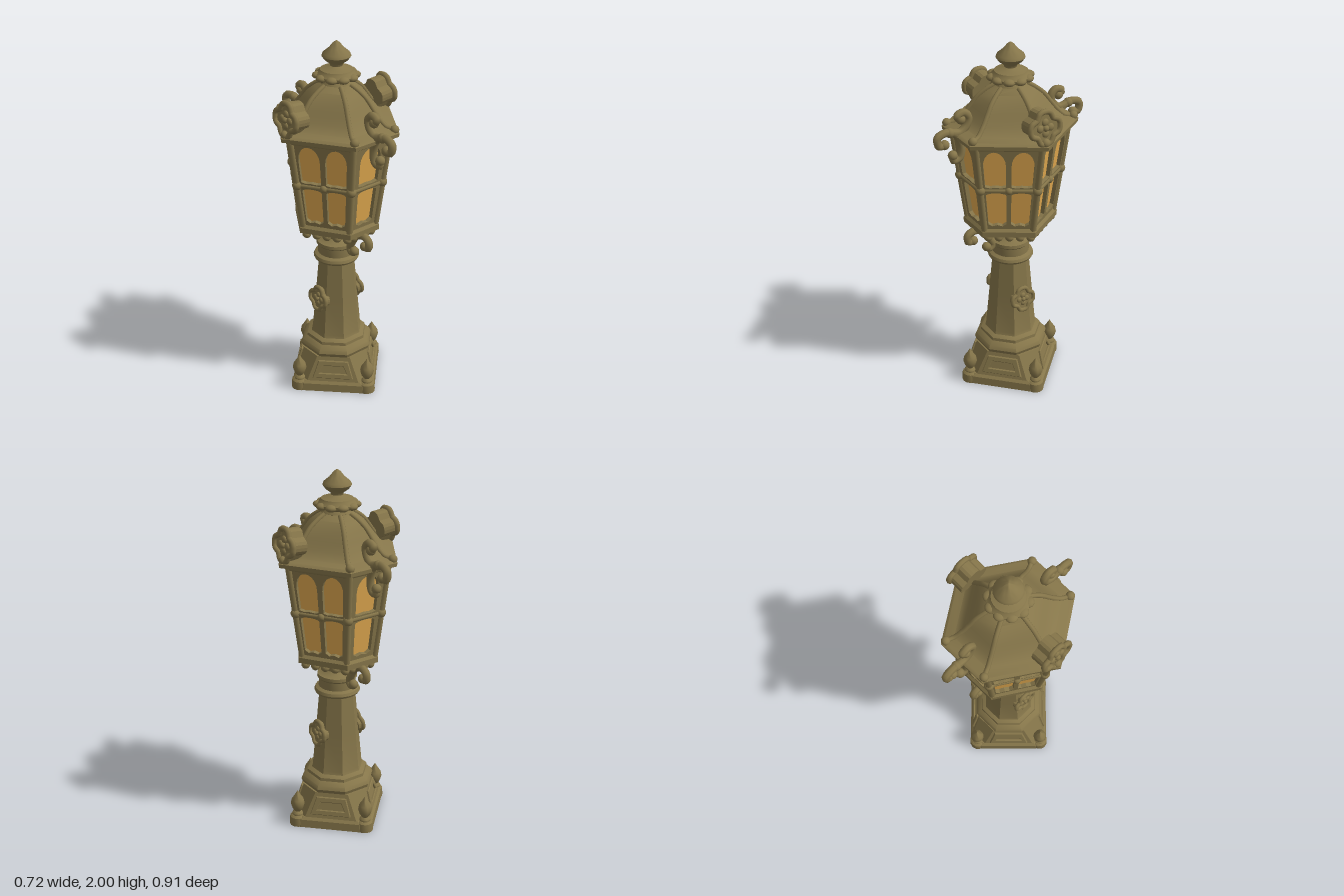
import * as THREE from 'three';
import { toCreasedNormals } from 'three/addons/utils/BufferGeometryUtils.js';

const bronze = new THREE.MeshStandardMaterial({ color: 0x86764a });
bronze.name = 'bronze';
const amber = new THREE.MeshStandardMaterial({ color: 0xe2aa50 });
amber.name = 'amberGlass';

const V = (x, y, z) => new THREE.Vector3(x, y, z);

// Cross-sections as [x, z] corners, running from +x towards +z
const hex = (a, c, b = a * 0.4) => [[a, 0], [b, c], [-b, c], [-a, 0], [-b, -c], [b, -c]];
const cutDiamond = (s, r) => {
  const k = s - r;
  return [[r, -k], [r, k], [k, r], [-k, r], [-r, k], [-r, -k], [-k, -r], [k, -r]];
};

// Skin over a stack of [y, section] rings, closed at both ends
function loft(rings, crease = 0.5) {
  const collapse = ([y, s]) => [y, s.map(([x, z]) => [x * 0.001, z * 0.001])];
  const all = [collapse(rings[0]), ...rings, collapse(rings[rings.length - 1])];
  const pos = [];
  for (let r = 0; r < all.length - 1; r++) {
    const [y0, s0] = all[r], [y1, s1] = all[r + 1], n = s0.length;
    for (let i = 0; i < n; i++) {
      const j = (i + 1) % n;
      const a = [s0[i][0], y0, s0[i][1]], b = [s1[i][0], y1, s1[i][1]];
      const c = [s0[j][0], y0, s0[j][1]], d = [s1[j][0], y1, s1[j][1]];
      pos.push(...a, ...b, ...c, ...b, ...d, ...c);
    }
  }
  const g = new THREE.BufferGeometry();
  g.setAttribute('position', new THREE.Float32BufferAttribute(pos, 3));
  return toCreasedNormals(g, crease);
}

function lathe(profile, sides = 24, crease = 0.6) {
  const g = new THREE.LatheGeometry(profile.map(([r, y]) => new THREE.Vector2(r, y)), sides);
  return toCreasedNormals(g, crease);
}

export function createModel() {
  const model = new THREE.Group();
  const add = (name, geo, parent = model, mat = bronze) => {
    const m = new THREE.Mesh(geo, mat);
    m.name = name;
    parent.add(m);
    return m;
  };
  const ball = (name, p, r, parent = model) => {
    const m = add(name, new THREE.SphereGeometry(r, 12, 8), parent);
    m.position.copy(p);
    return m;
  };
  const tube = (name, pts, r, parent = model, closed = false) =>
    add(name, new THREE.TubeGeometry(new THREE.CatmullRomCurve3(pts, closed), pts.length * 6, r, 8, closed), parent);
  const rod = (name, p, q, r) => add(name, new THREE.TubeGeometry(new THREE.LineCurve3(p, q), 1, r, 8));

  // Base: square plinth turned so its corners lie on the axes
  add('plinth', loft([[0, cutDiamond(0.33, 0.285)], [0.045, cutDiamond(0.325, 0.28)], [0.06, cutDiamond(0.305, 0.262)]]));
  add('baseBody', loft([[0.05, cutDiamond(0.31, 0.26)], [0.2, cutDiamond(0.25, 0.19)]]));
  const finialProfile = [[0.03, 0.055], [0.032, 0.07], [0.018, 0.082], [0.03, 0.1], [0.039, 0.13],
    [0.034, 0.155], [0.015, 0.185], [0.001, 0.21]];
  for (let i = 0; i < 4; i++) {
    const corner = new THREE.Group();
    corner.name = 'baseCorner';
    corner.rotation.y = i * Math.PI / 2;
    model.add(corner);
    add('cornerPad', lathe([[0.001, 0], [0.048, 0], [0.046, 0.05], [0.034, 0.06], [0.001, 0.06]], 12), corner).position.x = 0.268;
    add('cornerFinial', lathe(finialProfile, 14, 1), corner).position.x = 0.27;

    // Raised panel frame on each sloping side
    const side = new THREE.Group();
    side.name = 'baseSide';
    side.rotation.y = (i + 0.5) * Math.PI / 2;
    model.add(side);
    const trapezoid = (C, b, t, h) => new C([[-b, -h], [b, -h], [t, h], [-t, h]].map(p => new THREE.Vector2(...p)));
    const frame = trapezoid(THREE.Shape, 0.11, 0.08, 0.048);
    frame.holes.push(trapezoid(THREE.Path, 0.083, 0.06, 0.026));
    const panel = add('panelFrame', new THREE.ExtrudeGeometry(frame, {
      depth: 0.012, bevelSize: 0.004, bevelThickness: 0.004, bevelSegments: 1 }), side);
    panel.position.set(0, 0.127, 0.194);
    panel.rotation.x = -0.28;
  }

  // Eight-sided shaft with its foot moulding, then round collar and neck
  add('shaft', lathe([[0.16, 0.185], [0.2, 0.205], [0.207, 0.225], [0.198, 0.245], [0.172, 0.265], [0.17, 0.282],
    [0.147, 0.295], [0.141, 0.31], [0.12, 0.54], [0.1, 0.77]], 8, 0.5)).rotation.y = Math.PI / 8;
  add('collar', lathe([[0.09, 0.755], [0.12, 0.758], [0.126, 0.77], [0.12, 0.785], [0.102, 0.795], [0.1, 0.84],
    [0.11, 0.85], [0.108, 0.868], [0.08, 0.875], [0.062, 0.89], [0.062, 0.92], [0.075, 0.955], [0.105, 0.99]]));

  // Lantern floor with a row of beads below
  add('lanternFloor', loft([[0.975, hex(0.225, 0.21)], [0.985, hex(0.25, 0.235)], [1.015, hex(0.25, 0.235)], [1.03, hex(0.235, 0.222)]]));
  const beadRing = hex(0.205, 0.19);
  beadRing.forEach(([x, z], i) => {
    const [x2, z2] = beadRing[(i + 1) % 6];
    for (let k = 0; k < 4; k++) {
      const t = k / 4;
      ball('floorBead', V(x + (x2 - x) * t, 0.965, z + (z2 - z) * t), 0.024);
    }
  });

  // Glass body
  add('glass', loft([[1.02, hex(0.205, 0.195)], [1.54, hex(0.283, 0.26)]]), model, amber);

  // Cage: six framed windows with arched panes, corner posts and a middle rail
  const low = hex(0.226, 0.216), high = hex(0.306, 0.281), yLow = 1.02, yHigh = 1.545;
  const at = (i, t) => V(
    THREE.MathUtils.lerp(low[i][0], high[i][0], t),
    THREE.MathUtils.lerp(yLow, yHigh, t),
    THREE.MathUtils.lerp(low[i][1], high[i][1], t));
  for (let i = 0; i < 6; i++) {
    const j = (i + 1) % 6, mid = 0.48;
    rod('cornerPost', at(i, 0), at(i, 1), 0.018);
    rod('middleRail', at(i, mid), at(j, mid), 0.013);
    rod('topRail', at(i, 0.97), at(j, 0.97), 0.016);
    ball('postBead', at(i, mid), 0.027);

    const bottom = at(i, 0).lerp(at(j, 0), 0.5), top = at(i, 1).lerp(at(j, 1), 0.5);
    const wLow = at(i, 0).distanceTo(at(j, 0)), wHigh = at(i, 1).distanceTo(at(j, 1));
    const h = bottom.distanceTo(top);
    const P = (s, v) => new THREE.Vector2(s * THREE.MathUtils.lerp(wLow, wHigh, v), v * h);
    const shape = new THREE.Shape([P(-0.5, 0), P(0.5, 0), P(0.5, 1), P(-0.5, 1)]);
    const single = i % 3 === 1;
    const columns = single ? [[-0.3, 0.3]] : [[-0.41, -0.045], [0.045, 0.41]];
    for (const [s0, s1] of columns) {
      for (const [v0, v1, arch, leaf] of [[0.04, 0.455, 0.03, 0.04], [0.51, 0.93, 0.16, 0.015]]) {
        const w = s1 - s0, c = (s0 + s1) / 2;
        const pts = [P(s0, v0 + leaf), P(s0 + w * 0.22, v0 + leaf * 0.3), P(c, v0 + leaf * 0.7),
          P(s1 - w * 0.22, v0 + leaf * 0.3), P(s1, v0 + leaf)];
        for (let k = 0; k <= 10; k++) {
          const a = k / 10 * Math.PI;
          pts.push(P(c + Math.cos(a) * w / 2, v1 - arch + Math.sin(a) * arch));
        }
        shape.holes.push(new THREE.Path(pts));
      }
    }
    const win = add('windowFrame', new THREE.ExtrudeGeometry(shape, { depth: 0.022, bevelEnabled: false }));
    const X = at(i, 0).sub(at(j, 0)).normalize();
    const Y = top.clone().sub(bottom).normalize();
    const Z = X.clone().cross(Y).normalize();
    win.applyMatrix4(new THREE.Matrix4().makeBasis(X, Y, Z).setPosition(bottom.clone().addScaledVector(Z, -0.017)));
    if (!single) ball('mullionBead', at(i, mid).lerp(at(j, mid), 0.5), 0.022);
  }

  // Roof: eave and six-sided dome with ridges
  const dome = [[1.582, 0.29, 0.262], [1.62, 0.245, 0.222], [1.665, 0.21, 0.19], [1.715, 0.17, 0.155],
    [1.75, 0.125, 0.115], [1.775, 0.08, 0.075], [1.8, 0.07, 0.066]];
  add('roof', loft([[1.53, hex(0.315, 0.29)], [1.54, hex(0.36, 0.325)], [1.56, hex(0.362, 0.327)],
    [1.572, hex(0.345, 0.312)], ...dome.map(([y, a, c]) => [y, hex(a, c)])], 0.6));
  for (let i = 0; i < 6; i++) {
    const ridge = dome.slice(0, 6).map(([y, a, c]) => V(hex(a, c)[i][0], y, hex(a, c)[i][1]));
    const [ex, ez] = hex(0.345, 0.312)[i];
    tube('roofRidge', [V(ex, 1.575, ez), ...ridge], 0.013);
    ball('eaveKnob', V(ex * 0.97, 1.575, ez * 0.97), 0.024);
  }

  // Scalloped crown and top finial
  add('crown', lathe([[0.06, 1.77], [0.085, 1.78], [0.075, 1.795], [0.105, 1.81], [0.108, 1.825], [0.09, 1.84],
    [0.085, 1.85], [0.05, 1.86], [0.032, 1.868], [0.035, 1.88], [0.062, 1.9], [0.076, 1.92], [0.07, 1.935],
    [0.04, 1.96], [0.018, 1.988], [0.001, 2]], 24, 0.8));
  for (let k = 0; k < 10; k++) {
    const a = k / 10 * Math.PI * 2;
    ball('crownLobe', V(Math.cos(a) * 0.094, 1.817, Math.sin(a) * 0.094), 0.032).scale.y = 0.6;
  }

  // Four-lobed rosettes on the left and right of roof and shaft
  function rosette(name, sx, x, y, R, depth, tilt) {
    const g = new THREE.Group();
    g.name = name;
    g.position.set(sx * x, y, 0);
    g.rotation.set(0, sx * Math.PI / 2, 0);
    model.add(g);
    const body = new THREE.Group();
    body.name = 'rosetteBody';
    body.rotation.x = tilt;
    g.add(body);
    const rim = [];
    for (let k = 0; k < 32; k++) {
      const a = k / 32 * Math.PI * 2, r = R * (0.79 + 0.1 * Math.cos(4 * a) - 0.03 * Math.cos(8 * a));
      rim.push(V(Math.cos(a) * r, Math.sin(a) * r, 0));
    }
    const plate = new THREE.Shape(rim.map(p => new THREE.Vector2(p.x, p.y)));
    add('rosettePlate', new THREE.ExtrudeGeometry(plate, { depth, bevelEnabled: false }), body).position.z = -depth;
    tube('rosetteRim', rim, R * 0.15, body, true);
    for (let k = 0; k < 4; k++) {
      const a = k * Math.PI / 2;
      ball('rosettePetal', V(Math.cos(a) * R * 0.3, Math.sin(a) * R * 0.3, 0), R * 0.2, body).scale.z = 0.6;
    }
    ball('rosetteCentre', V(0, 0, 0.004), R * 0.17, body);
  }

  // Scrolls on front and back, given as [z, y] points
  const scrolls = {
    eaveScroll: [[0.39, 1.525], [0.422, 1.525], [0.43, 1.57], [0.385, 1.59], [0.325, 1.57], [0.295, 1.5],
      [0.305, 1.435], [0.34, 1.425], [0.345, 1.455]],
    roofScroll: [[0.295, 1.645], [0.315, 1.665], [0.28, 1.68], [0.25, 1.65], [0.262, 1.605], [0.3, 1.575], [0.36, 1.585]],
    neckScroll: [[0.235, 0.915], [0.265, 0.915], [0.268, 0.952], [0.23, 0.972], [0.175, 0.955], [0.135, 0.9],
      [0.115, 0.855], [0.135, 0.835], [0.152, 0.85]],
  };
  for (const s of [1, -1]) {
    rosette('roofRosette', s, 0.328, 1.655, 0.1, 0.085, -0.08);
    rosette('shaftRosette', s, 0.132, 0.53, 0.078, 0.03, -0.1);
    for (const [name, pts] of Object.entries(scrolls)) {
      const path = pts.map(([z, y]) => V(0, y, z * s));
      tube(name, path, 0.021);
      ball('scrollEnd', path[0], 0.026);
      ball('scrollEnd', path[path.length - 1], 0.026);
    }
  }
  return model;
}
